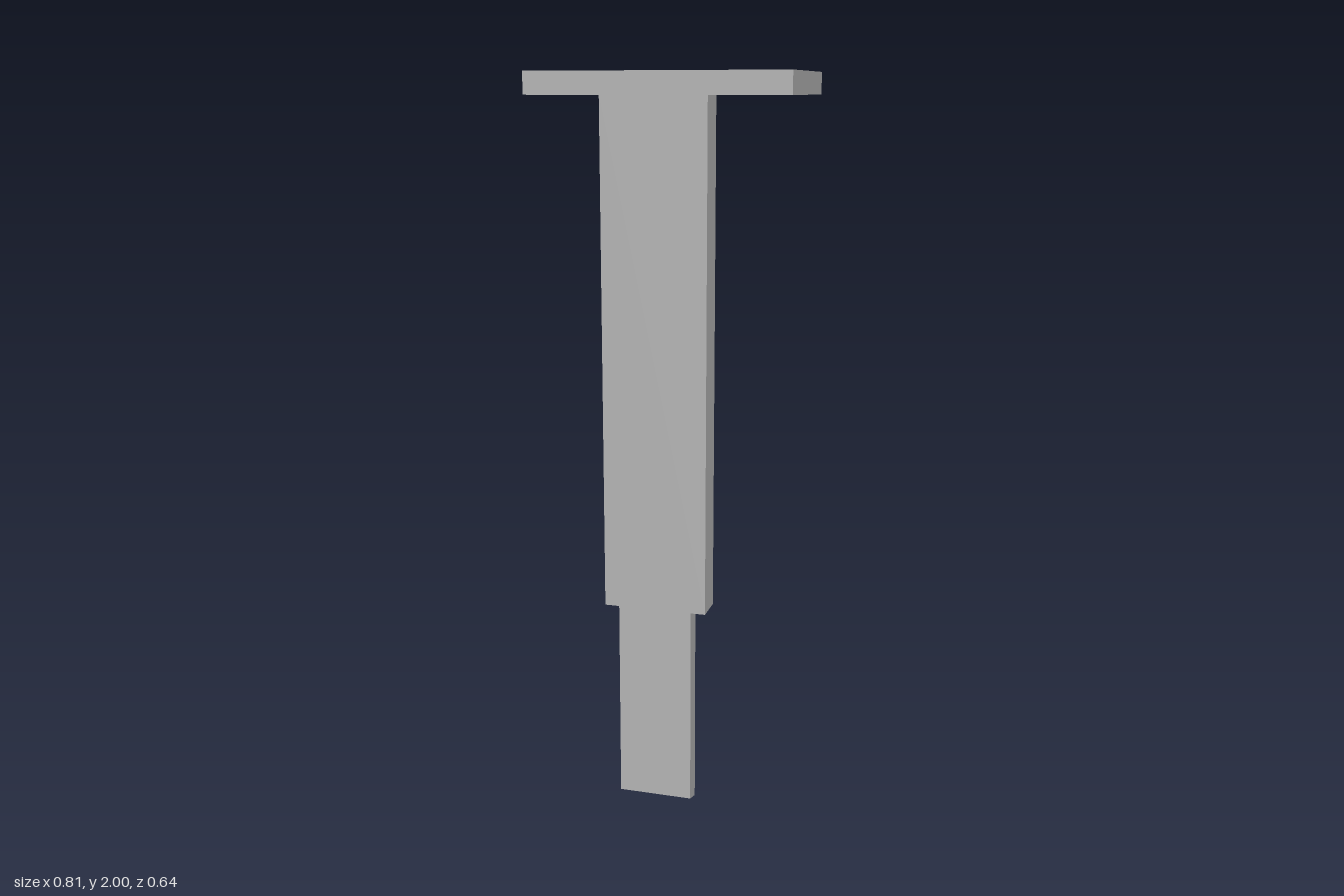
import * as THREE from 'three';

const TURN = 0.386;   // yaw of the whole model
const FRONT = 0.199;  // shared front plane of plate, post and foot
const BACK = 0.112;   // shared back plane of post and foot
const MID = -0.004;   // sideways centre of post and foot

export function createModel() {
  const model = new THREE.Group();
  model.name = 'steppedPost';
  const grey = new THREE.MeshStandardMaterial({ color: 0xc0c0c0 });
  grey.name = 'plainGrey';

  const body = new THREE.Group();
  body.name = 'body';
  body.rotation.y = TURN;
  model.add(body);

  // Upright prism from a mirrored half outline of [halfWidth, z], front to back
  function prism(name, half, y0, y1, cx) {
    const points = [
      ...half.map(([w, z]) => new THREE.Vector2(cx + w, -z)),
      ...half.slice().reverse().map(([w, z]) => new THREE.Vector2(cx - w, -z)),
    ];
    const geometry = new THREE.ExtrudeGeometry(new THREE.Shape(points), {
      depth: y1 - y0, bevelEnabled: false,
    });
    geometry.rotateX(-Math.PI / 2);
    const mesh = new THREE.Mesh(geometry, grey);
    mesh.name = name;
    mesh.position.y = y0;
    body.add(mesh);
  }

  // Flat rectangular head
  prism('topPlate', [[0.355, 0.2], [0.355, -0.2]], 1.94, 2, 0);
  // Main rectangular post, flush with the plate's front edge
  prism('post', [[0.1435, FRONT], [0.1435, BACK]], 0.56, 1.94, MID);
  // Narrower foot with chamfered back corners
  prism('foot', [[0.103, FRONT], [0.11, 0.175], [0.056, BACK]], 0, 0.56, MID);

  return model;
}
